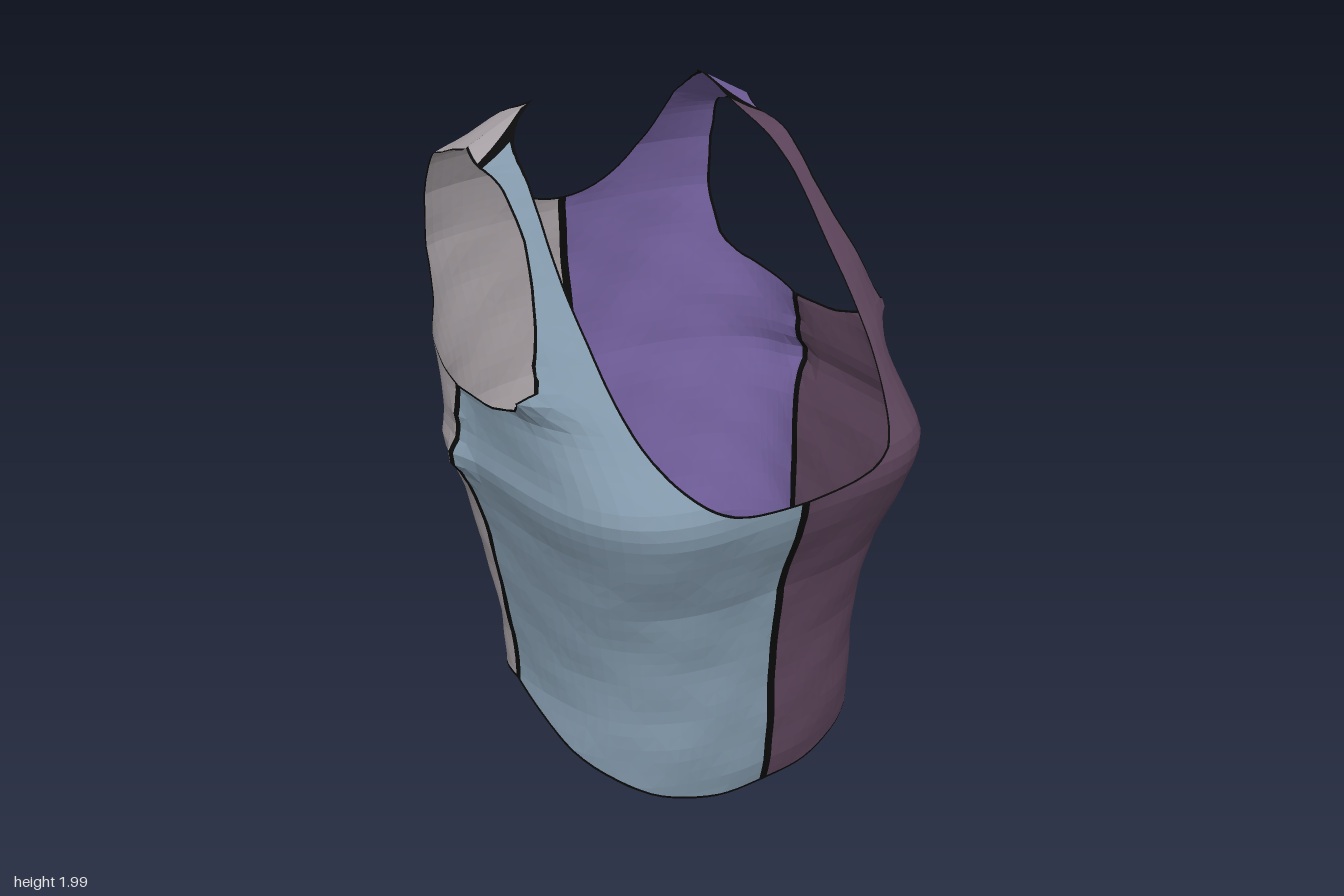
import * as THREE from 'three';

// piecewise-linear curve through [position, value] pairs
const curve = (keys) => (v) => {
  if (v <= keys[0][0]) return keys[0][1];
  for (let i = 1; i < keys.length; i++) {
    const [a, p] = keys[i - 1], [b, q] = keys[i];
    if (v <= b) return p + (q - p) * (v - a) / (b - a);
  }
  return keys[keys.length - 1][1];
};

// side seam depth by height, shared by front and back
const seamZ = curve([[.3, -.08], [.6, -.11], [.8, -.14], [1, -.19], [1.25, -.205], [1.6, -.23], [2, -.285]]);
const lowerWidth = [[0, .55], [.2, .545], [.33, .527], [.45, .535], [.6, .555], [.8, .58], [.9, .597], [1, .625], [1.04, .633],
  [1.1, .62], [1.25, .62]];

// rounded neck opening: positive outside it
const neck = (w, cy, low, high, power) => (p) => {
  const h = p.y < cy ? low : high;
  const v = (Math.abs(p.x) / w) ** power + (Math.abs(p.y - cy) / h) ** power;
  return (v ** (1 / power) - 1) * w;
};

// cross-section by height (half width, depth, squareness) and cut lines of each half
const halves = {
  front: {
    start: 0,
    width: curve([...lowerWidth, [1.33, .65], [1.45, .66]]),
    depth: curve([[0, .44], [.1, .46], [.25, .473], [.5, .475], [.7, .5], [.8, .535], [.9, .575], [.98, .6], [1.04, .605],
      [1.09, .587], [1.2, .475], [1.46, .24], [1.6, .11], [1.74, -.01], [1.86, -.15], [1.94, -.235], [2, -.285]]),
    squareness: curve([[0, 2.5], [.3, 2.7], [.6, 3.1], [.9, 4], [1, 4.3], [1.4, 4]]),
    strapX: curve([[1.3, .58], [1.4, .6], [1.5, .565], [1.6, .53], [1.7, .505], [1.88, .495]]),
    neck: neck(.445, 1.5, .48, .55, 3),
  },
  back: {
    start: Math.PI / 2,
    width: curve(lowerWidth),
    depth: curve([[.25, -.35], [.5, -.345], [.6, -.39], [.75, -.45], [.95, -.505], [1.05, -.54], [1.2, -.57], [1.4, -.595],
      [1.55, -.603], [1.7, -.58], [1.8, -.535], [1.9, -.48], [1.96, -.41], [1.985, -.36], [2, -.285]]),
    squareness: curve([[0, 2.4], [1.2, 2.4], [1.4, 3], [1.55, 3.5], [1.8, 4]]),
    strapX: curve([[1.3, .55], [1.4, .53], [1.5, .52], [1.75, .52], [1.88, .505]]),
    neck: neck(.34, 1.92, .34, .14, 2),
  },
};

const hemY = curve([[-.35, .27], [-.2, .3], [-.08, .3], [0, .27], [.2, .17], [.35, .085], [.44, .008]]);
const armY = curve([[-.6, 1.52], [-.5, 1.4], [-.43, 1.33], [-.2, 1.245], [-.02, 1.245], [.11, 1.28], [.2, 1.36], [.35, 1.5]]);
const hem = (p) => p.y - hemY(p.z);
// distance in front of the shoulder seam
const shoulder = (p) => (p.y < 1.7 ? 1 : p.z + .285 - .2 * Math.max(0, p.x - .28));

const bump = (y, z, cy, cz, r) => Math.exp(-((y - cy) ** 2 + (z - cz) ** 2) / (r * r));

// point on the garment: phi 0 = front centre, PI = back centre
function point(half, phi, t) {
  const s = Math.max(0, Math.sin(phi)), c = Math.abs(Math.cos(phi)), n = half.squareness(t);
  const r = (c ** n + s ** n) ** (-1 / n);
  let x = half.width(t) * r * s;
  let z = seamZ(t) + (half.depth(t) - seamZ(t)) * r * c;
  // soft folds, gathers at the side seam and a peak at the armhole corner
  const fold = (t > 1.6 ? .3 : 1) * (.0035 * Math.sin(13 * t + 5 * phi) * Math.sin(7 * phi + 3 * t) + .0015 * Math.sin(31 * t - 9 * phi));
  x += s * (fold + .035 * bump(t, z, 1.03, -.19, .05) + .015 * bump(t, z, 1.16, -.2, .04) + .04 * bump(t, z, 1.33, .18, .05));
  z += Math.cos(phi) * fold;
  // straps fall away towards the outer shoulder
  const ramp = THREE.MathUtils.smoothstep(t, 1.8, 2) * Math.max(0, x - .28);
  return new THREE.Vector3(x, t - .52 * ramp, z - .1 * ramp);
}

// cut convex polygons along f = 0
function split(polys, f) {
  const inside = [], outside = [];
  for (const poly of polys) {
    const d = poly.map(f), a = [], b = [];
    poly.forEach((p, i) => {
      const j = (i + 1) % poly.length;
      (d[i] >= 0 ? a : b).push(p);
      if ((d[i] >= 0) !== (d[j] >= 0)) {
        const m = p.clone().lerp(poly[j], d[i] / (d[i] - d[j]));
        a.push(m);
        b.push(m);
      }
    });
    if (a.length > 2) inside.push(a);
    if (b.length > 2) outside.push(b);
  }
  return [inside, outside];
}

// one quarter of the garment: cloth, black trim, and the yoke lying beyond the shoulder seam
function quarter(half, isFront) {
  const rows = 64, cols = 26;
  const at = (i, j) => point(half, half.start + (Math.PI / 2) * i / cols, 2 * (1 - (1 - j / rows) ** 1.5));
  let cloth = [];
  for (let j = 0; j < rows; j++) {
    for (let i = 0; i < cols; i++) {
      const a = at(i, j), b = at(i + 1, j), c = at(i + 1, j + 1), d = at(i, j + 1);
      if ((i + j) % 2) cloth.push([a, b, c], [a, c, d]);
      else cloth.push([a, b, d], [b, c, d]);
    }
  }
  const armhole = (p) => Math.max(half.strapX(p.y) - p.x, armY(p.z) - p.y);
  for (const f of [half.neck, armhole, hem]) cloth = split(cloth, f)[0];

  // edge binding, centre seam and side seam
  const bands = [
    (p) => half.neck(p) - .006,
    (p) => armhole(p) - .007,
    (p) => hem(p) - .009,
    (p) => p.x - .014,
    (p) => (p.y > 1.4 || p.x < .3 ? 1 : Math.abs(p.z - seamZ(p.y)) - .013),
  ];
  const trim = [];
  for (const f of bands) {
    const [keep, band] = split(cloth, f);
    cloth = keep;
    trim.push(...band);
  }
  // shoulder seam sits just forward of the ridge
  let yoke = [];
  if (isFront) {
    const [below, above] = split(cloth, (p) => shoulder(p) - .013);
    const [seam, beyond] = split(above, (p) => shoulder(p) + .013);
    cloth = below;
    yoke = beyond;
    trim.push(...seam);
  }
  return { cloth, trim, yoke };
}

// fan-triangulate polygons; side -1 mirrors them to the other half
function toMesh(polys, side, material, name) {
  const pos = [];
  for (const poly of polys) {
    for (let i = 1; i < poly.length - 1; i++) {
      const tri = side > 0 ? [poly[0], poly[i], poly[i + 1]] : [poly[0], poly[i + 1], poly[i]];
      for (const p of tri) pos.push(p.x * side, p.y, p.z);
    }
  }
  const g = new THREE.BufferGeometry();
  g.setAttribute('position', new THREE.Float32BufferAttribute(pos, 3));
  g.computeVertexNormals();
  const mesh = new THREE.Mesh(g, material);
  mesh.name = name;
  return mesh;
}

export function createModel() {
  const mat = (name, color) => {
    const m = new THREE.MeshStandardMaterial({ color, side: THREE.DoubleSide, flatShading: true });
    m.name = name;
    return m;
  };
  const black = mat('black', 0x0a0a0a);
  const colours = {
    front: { Left: mat('plum', 0x5c445a), Right: mat('dusty blue', 0x8298aa) },
    back: { Left: mat('purple', 0x705e9a), Right: mat('warm grey', 0xa59ea2) },
  };

  const top = new THREE.Group();
  top.name = 'sleevelessTop';
  for (const part of ['front', 'back']) {
    const { cloth, trim, yoke } = quarter(halves[part], part === 'front');
    for (const [hand, side] of [['Left', 1], ['Right', -1]]) {
      top.add(toMesh(cloth, side, colours[part][hand], `${part}${hand}Panel`));
      top.add(toMesh(trim, side, black, `${part}${hand}Seams`));
      if (yoke.length) top.add(toMesh(yoke, side, colours.back[hand], `shoulder${hand}Yoke`));
    }
  }
  return top;
}
